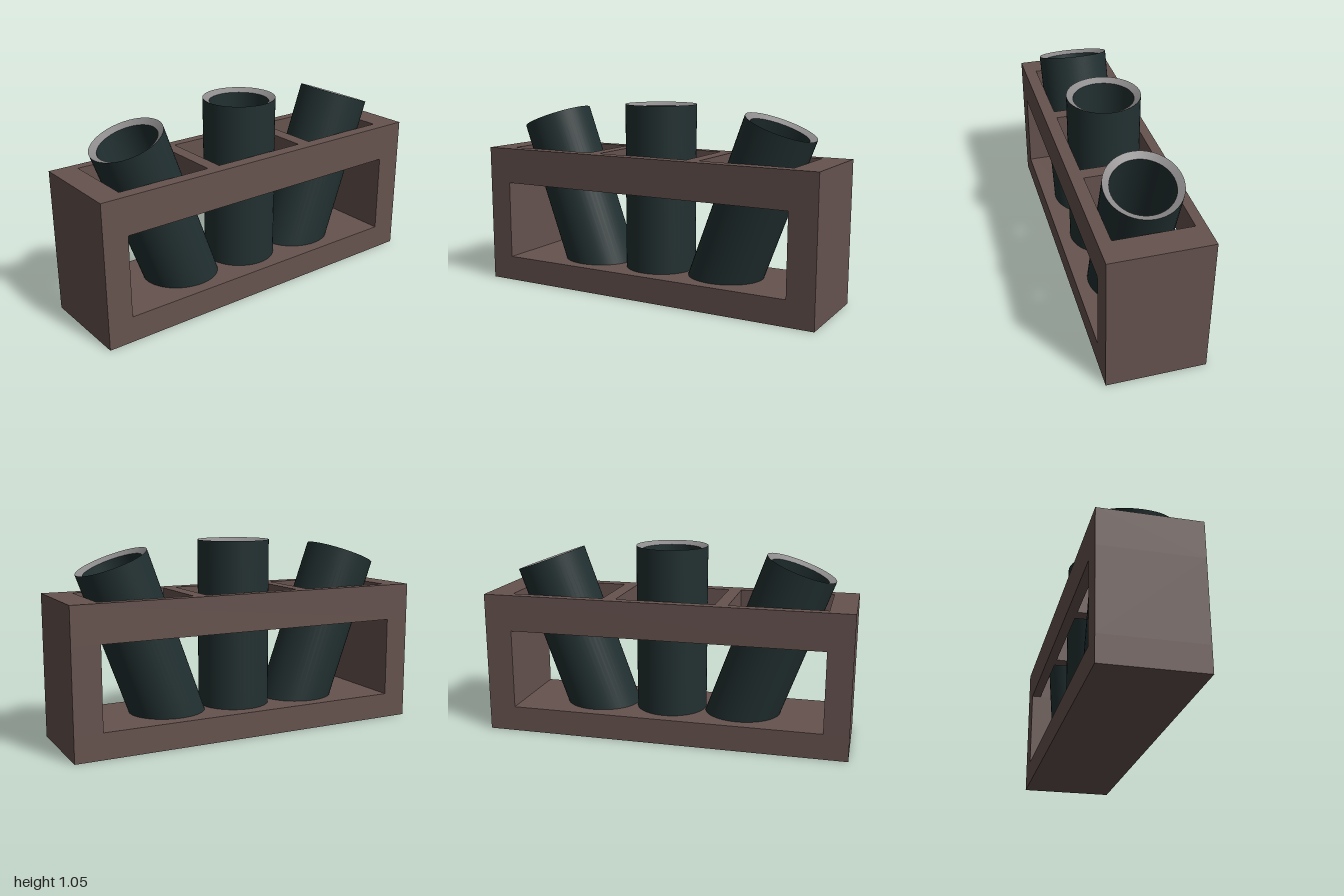
import * as THREE from 'three';
import { mergeGeometries } from 'three/addons/utils/BufferGeometryUtils.js';

const FLOOR = 0.14;      // top of the base board
const SLAB = 0.58;       // underside of the top board
const TOP = 0.78;
const DEPTH = 0.525;
const OUTER = 0.195, INNER = 0.16, BEVEL = 0.02;

// Surface of revolution through a list of [radius, height] points
const lathe = (...pts) => new THREE.LatheGeometry(pts.map(p => new THREE.Vector2(...p)), 48);

function box(name, x0, x1, y0, y1, material) {
  const mesh = new THREE.Mesh(new THREE.BoxGeometry(x1 - x0, y1 - y0, DEPTH), material);
  mesh.name = name;
  mesh.position.set((x0 + x1) / 2, (y0 + y1) / 2, 0);
  return mesh;
}

// Top board with three rectangular openings
function topBoard(material) {
  const rect = (path, x0, x1, z0, z1) =>
    path.moveTo(x0, z0).lineTo(x1, z0).lineTo(x1, z1).lineTo(x0, z1).closePath();
  const shape = rect(new THREE.Shape(), -1, 1, -DEPTH / 2, DEPTH / 2);
  for (const [x0, x1] of [[-0.865, -0.35], [-0.28, 0.26], [0.335, 0.85]]) {
    shape.holes.push(rect(new THREE.Path(), x0, x1, -0.195, 0.21));
  }
  const geometry = new THREE.ExtrudeGeometry(shape, { depth: TOP - SLAB, bevelEnabled: false });
  geometry.rotateX(-Math.PI / 2);
  const mesh = new THREE.Mesh(geometry, material);
  mesh.name = 'topBoard';
  mesh.position.y = SLAB;
  return mesh;
}

// Open tube leaning by an angle, its foot cut level with the floor
function tube(name, x, length, lean, wallMaterial, rimMaterial) {
  const walls = mergeGeometries([
    lathe([OUTER, 0], [OUTER, length]),
    lathe([INNER, length - BEVEL], [INNER, 0]),
  ]);
  const p = walls.attributes.position;
  for (let i = 0; i < p.count; i++) {
    if (p.getY(i) < 0.001) p.setY(i, -p.getX(i) * Math.tan(lean));
  }
  const wall = new THREE.Mesh(walls, wallMaterial);
  wall.name = name + 'Wall';
  const rim = new THREE.Mesh(lathe([OUTER, length], [INNER, length - BEVEL]), rimMaterial);
  rim.name = name + 'Rim';
  const group = new THREE.Group();
  group.name = name;
  group.add(wall, rim);
  group.position.set(x, FLOOR, 0);
  group.rotation.z = lean;
  return group;
}

export function createModel() {
  const mat = (name, color) => {
    const m = new THREE.MeshStandardMaterial({ color });
    m.name = name;
    return m;
  };
  const wood = mat('brown wood', 0x66534f);
  const dark = mat('dark tube', 0x223031);
  const grey = mat('grey rim', 0x8c8a8a);

  const model = new THREE.Group();
  model.name = 'tubeRack';

  // Rack
  const rack = new THREE.Group();
  rack.name = 'rack';
  rack.add(
    box('base', -1, 1, 0, FLOOR, wood),
    box('rightEnd', -1, -0.865, FLOOR, SLAB, wood),
    box('leftEnd', 0.85, 1, FLOOR, SLAB, wood),
    topBoard(wood),
  );
  model.add(rack);

  // Tubes: one upright, two leaning outward
  const lean = THREE.MathUtils.degToRad(20);
  model.add(
    tube('rightTube', -0.405, 0.867, lean, dark, grey),
    tube('middleTube', 0, 0.91, 0, dark, grey),
    tube('leftTube', 0.405, 0.867, -lean, dark, grey),
  );
  return model;
}
